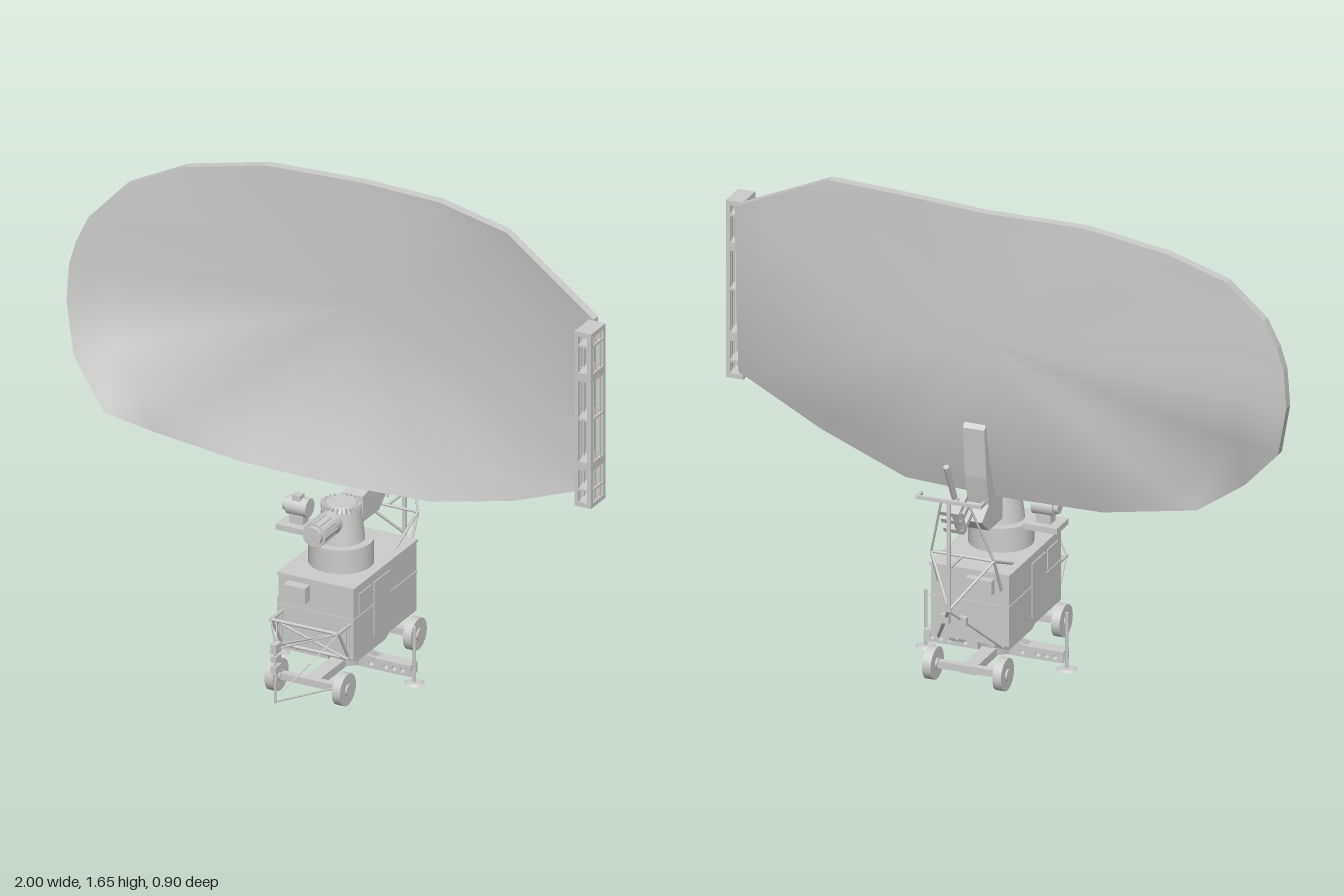
import * as THREE from 'three';

const grey = new THREE.MeshStandardMaterial({ color: 0xcccccc, side: THREE.DoubleSide });
const V = (p) => new THREE.Vector3(...p);
const CX = 0.042; // centre line of the trailer

export function createModel() {
  const root = new THREE.Group();
  const add = (name, geo, pos = [0, 0, 0], parent = root) => {
    const m = new THREE.Mesh(geo, grey);
    m.name = name;
    m.position.set(...pos);
    parent.add(m);
    return m;
  };
  const group = (name) => {
    const g = new THREE.Group();
    g.name = name;
    root.add(g);
    return g;
  };
  const box = (name, size, pos, parent) => add(name, new THREE.BoxGeometry(...size), pos, parent);
  // Cylinder between two points
  const rod = (name, a, b, r, parent, sides = 8) => {
    const d = V(b).sub(V(a));
    const m = add(name, new THREE.CylinderGeometry(r, r, d.length(), sides), V(a).add(V(b)).multiplyScalar(0.5).toArray(), parent);
    m.quaternion.setFromUnitVectors(new THREE.Vector3(0, 1, 0), d.normalize());
    return m;
  };
  // Plate drawn in (z, y) and given a width along x; holes are [z, y, r]
  const sidePlate = (name, pts, width, x, parent, holes = []) => {
    const s = new THREE.Shape(pts.map((p) => new THREE.Vector2(...p)));
    for (const [z, y, r] of holes) s.holes.push(new THREE.Path().absarc(z, y, r, 0, Math.PI * 2, true));
    const g = new THREE.ExtrudeGeometry(s, { depth: width, bevelEnabled: false, curveSegments: 6 });
    g.translate(0, 0, -width / 2).rotateY(-Math.PI / 2);
    return add(name, g, [x, 0, 0], parent);
  };

  // Reflector: rings blended from the centre out to an uneven rim
  const rim = [
    [-1, 1.07, -0.08], [-0.99, 1.2, -0.08], [-0.97, 1.28, -0.09], [-0.93, 1.37, -0.1], [-0.81, 1.5, -0.13],
    [-0.62, 1.585, -0.175], [-0.34, 1.64, -0.205], [0, 1.645, -0.225], [0.3, 1.65, -0.2], [0.58, 1.63, -0.135],
    [0.95, 1.44, -0.04], [0.95, 1.15, -0.03], [0.95, 0.85, -0.01], [0.64, 0.72, -0.06], [0.32, 0.625, -0.115],
    [0, 0.61, -0.115], [-0.37, 0.615, -0.115], [-0.69, 0.665, -0.09], [-0.82, 0.74, 0], [-0.96, 0.89, -0.055],
  ];
  const n = rim.length, rings = 8, thick = 0.032, centre = [0, 1.2, -0.225];
  const skin = (dz, flip) => {
    const pos = [], idx = [];
    const tri = (a, b, c) => (flip ? idx.push(a, c, b) : idx.push(a, b, c));
    pos.push(centre[0], centre[1], centre[2] + dz);
    for (let k = 1; k <= rings; k++) {
      const t = k / rings;
      for (const p of rim) {
        pos.push(
          centre[0] + (p[0] - centre[0]) * t,
          centre[1] + (p[1] - centre[1]) * t,
          centre[2] + (p[2] - centre[2]) * t * t + dz);
      }
    }
    for (let i = 0; i < n; i++) {
      const j = (i + 1) % n;
      tri(0, 1 + j, 1 + i);
      for (let k = 1; k < rings; k++) {
        const a = 1 + (k - 1) * n, b = a + n;
        tri(a + i, a + j, b + i);
        tri(a + j, b + j, b + i);
      }
    }
    const g = new THREE.BufferGeometry();
    g.setAttribute('position', new THREE.Float32BufferAttribute(pos, 3));
    g.setIndex(idx);
    g.computeVertexNormals();
    return g;
  };
  const dish = group('reflector');
  add('reflectorFront', skin(0, false), [0, 0, 0], dish);
  add('reflectorBack', skin(-thick, true), [0, 0, 0], dish);
  const edge = [];
  rim.forEach((a, i) => {
    const b = rim[(i + 1) % n];
    const a2 = [a[0], a[1], a[2] - thick], b2 = [b[0], b[1], b[2] - thick];
    edge.push(...a, ...b, ...a2, ...b, ...b2, ...a2);
  });
  const edgeGeo = new THREE.BufferGeometry();
  edgeGeo.setAttribute('position', new THREE.Float32BufferAttribute(edge, 3));
  edgeGeo.computeVertexNormals();
  add('reflectorRim', edgeGeo, [0, 0, 0], dish);

  // Open rack at the reflector's left end
  const rack = group('endRack');
  for (const x of [0.943, 0.99]) {
    for (const z of [-0.028, 0.058]) box('rackPost', [0.014, 0.62, 0.014], [x, 1.13, z], rack);
    for (const z of [-0.008, 0.015, 0.038]) rod('rackRod', [x, 0.83, z], [x, 1.43, z], 0.004, rack, 6);
  }
  for (const [y, h] of [[0.828, 0.016], [0.88, 0.008], [0.965, 0.03], [1.13, 0.008], [1.28, 0.03], [1.39, 0.008], [1.432, 0.016]])
    box('rackShelf', [0.06, h, 0.1], [0.967, y, 0.015], rack);

  // Arm carrying the reflector
  sidePlate('reflectorArm', [[-0.09, 0.6], [-0.14, 0.61], [-0.19, 0.75], [-0.215, 0.9], [-0.24, 0.875], [-0.222, 0.7],
    [-0.2, 0.6], [-0.26, 0.56], [-0.245, 0.545], [-0.2, 0.51], [-0.09, 0.51]], 0.075, CX);

  // Rotating turret
  const turret = group('turret');
  const tz = -0.012;
  add('turretBase', new THREE.CylinderGeometry(0.107, 0.107, 0.09, 32), [CX, 0.437, tz], turret);
  add('turretCone', new THREE.CylinderGeometry(0.064, 0.078, 0.11, 32), [CX, 0.535, tz], turret);
  add('turretCap', new THREE.CylinderGeometry(0.05, 0.06, 0.02, 32), [CX, 0.598, tz], turret);
  for (let i = 0; i < 24; i++) {
    const a = (i / 24) * Math.PI * 2;
    const rib = box('capRib', [0.016, 0.018, 0.006], [CX + 0.06 * Math.cos(a), 0.598, tz + 0.06 * Math.sin(a)], turret);
    rib.rotation.y = -a;
  }
  rod('driveMotor', [CX - 0.005, 0.558, 0.03], [CX - 0.005, 0.558, 0.165], 0.041, turret, 24);
  rod('driveMotorCover', [CX - 0.005, 0.558, 0.165], [CX - 0.005, 0.558, 0.18], 0.033, turret, 24);
  for (let i = 0; i < 12; i++) {
    const a = (i / 12) * Math.PI * 2, x = CX - 0.005 + 0.041 * Math.cos(a), y = 0.558 + 0.041 * Math.sin(a);
    rod('motorFin', [x, y, 0.085], [x, y, 0.163], 0.003, turret, 5);
  }

  // Side platform with a small motor
  const side = group('sideMotor');
  sidePlate('sidePlatform', [[-0.07, 0.475], [0.025, 0.475], [0.025, 0.495], [-0.07, 0.495]], 0.12, -0.118, side);
  rod('sideMotorBody', [-0.155, 0.552, -0.025], [-0.08, 0.552, -0.025], 0.032, side, 16);
  rod('sideMotorEnd', [-0.17, 0.552, -0.025], [-0.155, 0.552, -0.025], 0.022, side, 16);
  box('sideMotorFoot', [0.05, 0.04, 0.04], [-0.12, 0.51, -0.025], side);
  box('terminalBox', [0.03, 0.025, 0.03], [-0.12, 0.583, -0.02], side);

  // Cabin
  const cabin = group('cabin');
  box('cabinBody', [0.274, 0.25, 0.43], [CX, 0.27, -0.055], cabin);
  box('cabinRoof', [0.282, 0.008, 0.438], [CX, 0.394, -0.055], cabin);
  box('beltLine', [0.28, 0.005, 0.436], [CX, 0.285, -0.055], cabin);
  box('frontLocker', [0.08, 0.056, 0.036], [-0.02, 0.348, 0.178], cabin);
  box('rearLocker', [0.09, 0.05, 0.03], [0.0, 0.352, -0.283], cabin);
  for (const s of [-1, 1]) {
    box('sideDoor', [0.006, 0.19, 0.11], [CX + s * 0.138, 0.27, -0.03], cabin);
    box('sideHatch', [0.006, 0.07, 0.08], [CX + s * 0.138, 0.33, 0.085], cabin);
  }

  // Braced front frame and folding tow bar
  const front = group('frontFrame');
  for (const s of [-1, 1]) {
    const x = CX + s * 0.122, o = CX - s * 0.122;
    rod('frameArm', [x, 0.265, 0.16], [x, 0.265, 0.245], 0.006, front);
    rod('frameStrut', [x, 0.265, 0.235], [x, 0.15, 0.165], 0.005, front);
    rod('frameUpright', [x, 0.15, 0.17], [x, 0.265, 0.17], 0.006, front);
    rod('frameBrace', [x, 0.265, 0.235], [o, 0.15, 0.175], 0.004, front);
    rod('towCable', [x, 0.265, 0.24], [CX, 0.265, 0.435], 0.003, front, 6);
    rod('lowerTowBar', [x, 0.065, 0.2], [CX, 0.08, 0.44], 0.003, front, 6);
    rod('towBrace', [x, 0.265, 0.2], [CX, 0.09, 0.44], 0.002, front, 6);
  }
  for (const [y, z] of [[0.265, 0.24], [0.15, 0.17]])
    rod('frameCrossbar', [CX - 0.125, y, z], [CX + 0.125, y, z], 0.006, front);
  rod('towUpright', [CX, 0.075, 0.44], [CX, 0.28, 0.44], 0.004, front);
  for (const [y, h] of [[0.27, 0.033], [0.233, 0.022], [0.195, 0.028]])
    box('towBlock', [0.02, h, 0.036], [CX, y, 0.434], front);

  // Chassis
  const chassis = group('chassis');
  for (const x of [CX - 0.08, CX + 0.08]) {
    sidePlate('chassisBracket', [[0.16, 0.147], [0.16, 0.135], [0.04, 0.08], [-0.15, 0.08], [-0.27, 0.135], [-0.27, 0.147]],
      0.014, x, chassis, [[0.09, 0.122, 0.013], [0.04, 0.112, 0.013], [-0.15, 0.112, 0.013], [-0.2, 0.122, 0.013]]);
  }
  add('chassisColumn', new THREE.CylinderGeometry(0.075, 0.06, 0.115, 20), [CX, 0.092, -0.05], chassis);
  box('spineBeam', [0.05, 0.028, 0.47], [CX, 0.046, -0.045], chassis);
  for (const z of [0.2, -0.285]) {
    box('axle', [0.24, 0.024, 0.024], [CX, 0.055, z], chassis);
    for (const s of [-1, 1]) {
      const x = CX + s * 0.123;
      rod('wheel', [x - 0.015, 0.055, z], [x + 0.015, 0.055, z], 0.055, chassis, 24);
      rod('wheelHub', [x - 0.021, 0.055, z], [x + 0.021, 0.055, z], 0.02, chassis, 12);
    }
  }

  // Outriggers with lightening holes, jacks and foot pads
  const legs = group('outriggers');
  for (const s of [-1, 1]) {
    const shape = new THREE.Shape([[0.04, 0.03], [0.245, 0.03], [0.245, 0.062], [0.12, 0.07], [0.04, 0.085]]
      .map(([x, y]) => new THREE.Vector2(CX + s * x, y)));
    for (const x of [0.1, 0.155, 0.185, 0.215]) shape.holes.push(new THREE.Path().absarc(CX + s * x, 0.047, 0.009, 0, Math.PI * 2, true));
    for (const z of [-0.075, -0.035])
      add('outriggerWeb', new THREE.ExtrudeGeometry(shape, { depth: 0.008, bevelEnabled: false, curveSegments: 6 }), [0, 0, z], legs);
    box('outriggerTop', [0.13, 0.006, 0.048], [CX + s * 0.18, 0.066, -0.051], legs);
    rod('jackScrew', [CX + s * 0.247, 0, -0.051], [CX + s * 0.247, 0.2, -0.051], 0.006, legs);
    add('footPad', new THREE.CylinderGeometry(0.025, 0.034, 0.007, 20), [CX + s * 0.247, 0.0035, -0.051], legs);
  }

  // Rear mast frame
  const mast = group('rearFrame');
  box('mastPost', [0.012, 0.39, 0.01], [CX, 0.51, -0.445], mast);
  box('mastCrossbar', [0.23, 0.012, 0.01], [CX, 0.7, -0.445], mast);
  rod('mastStay', [CX, 0.465, -0.445], [CX, 0.465, -0.335], 0.005, mast);
  rod('frameTie', [CX - 0.11, 0.465, -0.33], [CX + 0.11, 0.465, -0.33], 0.005, mast);
  for (const s of [-1, 1]) {
    const x = CX + s * 0.11;
    box('crossbarEnd', [0.01, 0.012, 0.04], [x, 0.7, -0.428], mast);
    rod('lowerStrut', [x, 0.145, -0.27], [CX, 0.32, -0.445], 0.006, mast);
    rod('middleStrut', [x, 0.465, -0.33], [CX, 0.32, -0.445], 0.005, mast);
    rod('roofStrut', [x, 0.465, -0.33], [x, 0.395, -0.17], 0.005, mast);
    rod('cabinStrut', [x, 0.465, -0.33], [x, 0.34, -0.27], 0.005, mast);
    rod('upperStrut', [x, 0.465, -0.33], [CX + s * 0.05, 0.67, -0.39], 0.004, mast);
    box('strutClamp', [0.03, 0.03, 0.02], [CX + s * 0.03, 0.27, -0.4], mast);
  }

  // Tilted rear tube with clamps
  const tube = group('rearTube');
  const at = (t) => [0.07, 0.53 + 0.27 * t, -0.26 - 0.14 * t];
  rod('tube', at(0), at(1), 0.01, tube, 12);
  rod('tubeSleeve', at(0.05), at(0.5), 0.016, tube, 12);
  for (const t of [0.15, 0.3, 0.42]) {
    const c = box('tubeClamp', [0.07, 0.018, 0.085], at(t), tube);
    c.rotation.x = -0.48;
    c.position.z -= 0.02;
  }
  rod('sideCanister', [0.05, 0.55, -0.32], [0.05, 0.63, -0.36], 0.018, tube, 12);

  return root;
}
